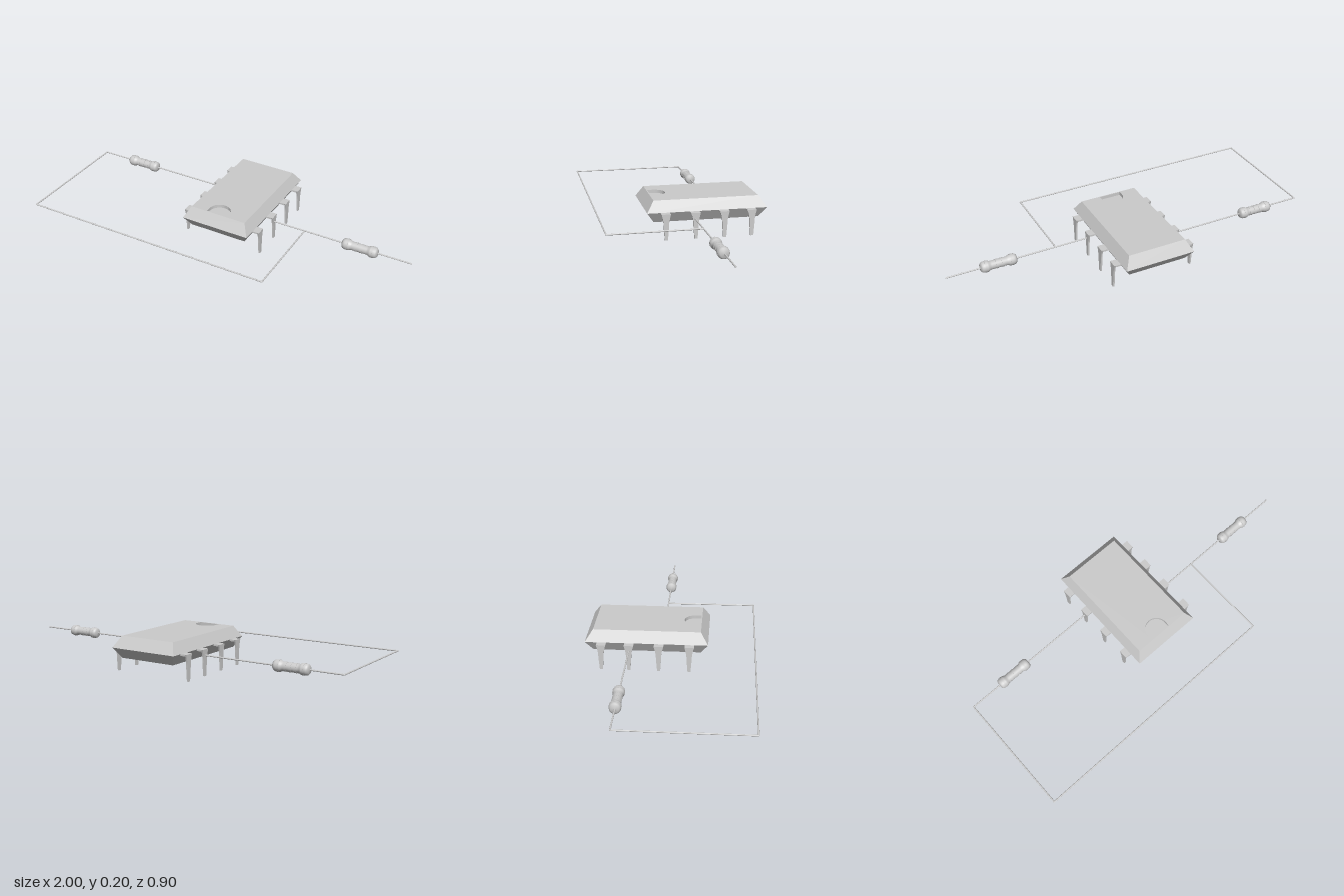
import * as THREE from 'three';
import { toCreasedNormals } from 'three/addons/utils/BufferGeometryUtils.js';

const mat = new THREE.MeshStandardMaterial({ color: 0xcccccc });
const flat = new THREE.MeshStandardMaterial({ color: 0xcccccc, flatShading: true });
const thin = new THREE.MeshStandardMaterial({ color: 0xcccccc, side: THREE.DoubleSide });

function add(parent, name, geometry, material = mat) {
  const mesh = new THREE.Mesh(geometry, material);
  mesh.name = name;
  parent.add(mesh);
  return mesh;
}

// Stacked rectangles [halfX, y, z0, z1], skinned into bevelled sides with a closed bottom
function chipShell(rings) {
  const pos = [], index = [];
  for (const [hx, y, z0, z1] of rings) pos.push(-hx, y, z1, hx, y, z1, hx, y, z0, -hx, y, z0);
  for (let r = 0; r < rings.length - 1; r++) {
    for (let i = 0; i < 4; i++) {
      const a = r * 4 + i, b = r * 4 + (i + 1) % 4;
      index.push(a, b, b + 4, a, b + 4, a + 4);
    }
  }
  index.push(0, 2, 1, 0, 3, 2);
  const g = new THREE.BufferGeometry();
  g.setAttribute('position', new THREE.Float32BufferAttribute(pos, 3));
  g.setIndex(index);
  return toCreasedNormals(g, 0.3);
}

// Chip body with an arched marker recess in its top
function makeChip() {
  const chip = new THREE.Group();
  chip.name = 'chip';
  chip.position.x = -0.003;
  add(chip, 'body', chipShell([
    [0.16, 0.083, -0.41, 0.158], [0.193, 0.14, -0.452, 0.197], [0.16, 0.2, -0.41, 0.158],
  ]), flat);

  // Shapes are drawn in x / -z and laid flat
  const arch = (Type) => {
    const s = new Type();
    s.moveTo(-0.069, -0.153);
    s.lineTo(0.051, -0.153);
    s.lineTo(0.051, -0.125);
    s.absarc(-0.009, -0.125, 0.06, 0, Math.PI, false);
    s.closePath();
    return s;
  };
  const top = new THREE.Shape([
    new THREE.Vector2(-0.16, -0.158), new THREE.Vector2(0.16, -0.158),
    new THREE.Vector2(0.16, 0.41), new THREE.Vector2(-0.16, 0.41),
  ]);
  top.holes.push(arch(THREE.Path));
  const lid = new THREE.ShapeGeometry(top, 16).rotateX(-Math.PI / 2).translate(0, 0.2, 0);
  add(chip, 'topFace', lid);

  const depth = 0.018;
  const floor = new THREE.ShapeGeometry(arch(THREE.Shape), 16).rotateX(-Math.PI / 2);
  add(chip, 'recessFloor', floor.translate(0, 0.2 - depth, 0));
  const pts = arch(THREE.Path).getPoints(16);
  const wall = [], index = [];
  pts.forEach((p, i) => {
    wall.push(p.x, 0.2, -p.y, p.x, 0.2 - depth, -p.y);
    if (i) index.push(2 * i - 2, 2 * i, 2 * i - 1, 2 * i, 2 * i + 1, 2 * i - 1);
  });
  const g = new THREE.BufferGeometry();
  g.setAttribute('position', new THREE.Float32BufferAttribute(wall, 3));
  g.setIndex(index);
  add(chip, 'recessWall', toCreasedNormals(g, 0.6), thin);
  return chip;
}

// Bent pin: horizontal shoulder and a tapering leg, built for the +x side
function makePin(side, z) {
  const pin = new THREE.Group();
  pin.name = side > 0 ? 'leftPin' : 'rightPin';
  const t = 0.009, outer = 0.226;
  const leg = new THREE.Shape();
  leg.moveTo(-0.025, 0.14);
  leg.bezierCurveTo(-0.017, 0.11, -0.014, 0.1, -0.0135, 0.07);
  leg.lineTo(-0.008, 0);
  leg.lineTo(0.008, 0);
  leg.lineTo(0.0135, 0.07);
  leg.bezierCurveTo(0.014, 0.1, 0.017, 0.11, 0.025, 0.14);
  leg.closePath();
  const legGeo = new THREE.ExtrudeGeometry(leg, { depth: t, bevelEnabled: false, curveSegments: 6 });
  add(pin, 'leg', legGeo.rotateY(Math.PI / 2).translate(outer - t, 0, 0));
  const shoulder = new THREE.BoxGeometry(outer - t - 0.17, t, 0.05);
  add(pin, 'shoulder', shoulder.translate((outer - t + 0.17) / 2, 0.14 - t / 2, 0));
  pin.position.set(side > 0 ? 0 : -0.003, 0, z);
  if (side < 0) pin.rotation.y = Math.PI;
  return pin;
}

// Resistor: lathed dog-bone body with raised colour bands, lying along x
function makeResistor(name, x, z, bands) {
  const resistor = new THREE.Group();
  resistor.name = name;
  const half = [[0.023, 0], [0.023, 0.04], [0.024, 0.048], [0.028, 0.055], [0.0295, 0.062],
    [0.0295, 0.08], [0.027, 0.089], [0.02, 0.096], [0, 0.098]];
  const profile = [...half.slice(1).reverse().map(([r, h]) => [r, -h]), ...half];
  const body = new THREE.LatheGeometry(profile.map(([r, h]) => new THREE.Vector2(r, h)), 24);
  add(resistor, 'resistorBody', body.rotateZ(-Math.PI / 2));
  for (const b of bands) {
    const r = Math.abs(b) > 0.05 ? 0.0305 : 0.0245;
    const band = new THREE.CylinderGeometry(r, r, 0.013, 24).rotateZ(-Math.PI / 2);
    add(resistor, 'band', band.translate(b, 0, 0));
  }
  resistor.position.set(x, WIRE_Y, z);
  return resistor;
}

const WIRE_Y = 0.108, WIRE_R = 0.004;

// Round wire run through [x, z] points, with a ball at every bend
function makeWire(name, points) {
  const wire = new THREE.Group();
  wire.name = name;
  for (let i = 1; i < points.length; i++) {
    const [x0, z0] = points[i - 1], [x1, z1] = points[i];
    const rod = new THREE.CylinderGeometry(WIRE_R, WIRE_R, Math.hypot(x1 - x0, z1 - z0), 10);
    rod.rotateZ(Math.PI / 2).rotateY(-Math.atan2(z1 - z0, x1 - x0));
    add(wire, 'wireRun', rod.translate((x0 + x1) / 2, WIRE_Y, (z0 + z1) / 2));
    if (i < points.length - 1) {
      add(wire, 'wireBend', new THREE.SphereGeometry(WIRE_R, 10, 8).translate(x1, WIRE_Y, z1));
    }
  }
  return wire;
}

export function createModel() {
  const model = new THREE.Group();
  model.name = 'chipCircuit';
  model.add(makeChip());
  for (const z of [0.103, -0.055, -0.21, -0.358]) model.add(makePin(1, z));
  for (const z of [0.1, -0.06, -0.217, -0.363]) model.add(makePin(-1, z));

  model.add(makeResistor('rightResistor', -0.723, -0.215, [-0.068, -0.027, 0.002, 0.03, 0.068]));
  model.add(makeResistor('leftResistor', 0.721, -0.053, [-0.068, -0.02, 0.01, 0.068]));

  model.add(makeWire('loopWire', [
    [-0.222, -0.216], [-0.996, -0.213], [-0.996, 0.446], [0.41, 0.441], [0.406, -0.052],
  ]));
  model.add(makeWire('outputWire', [[0.222, -0.051], [1, -0.056]]));
  return model;
}
